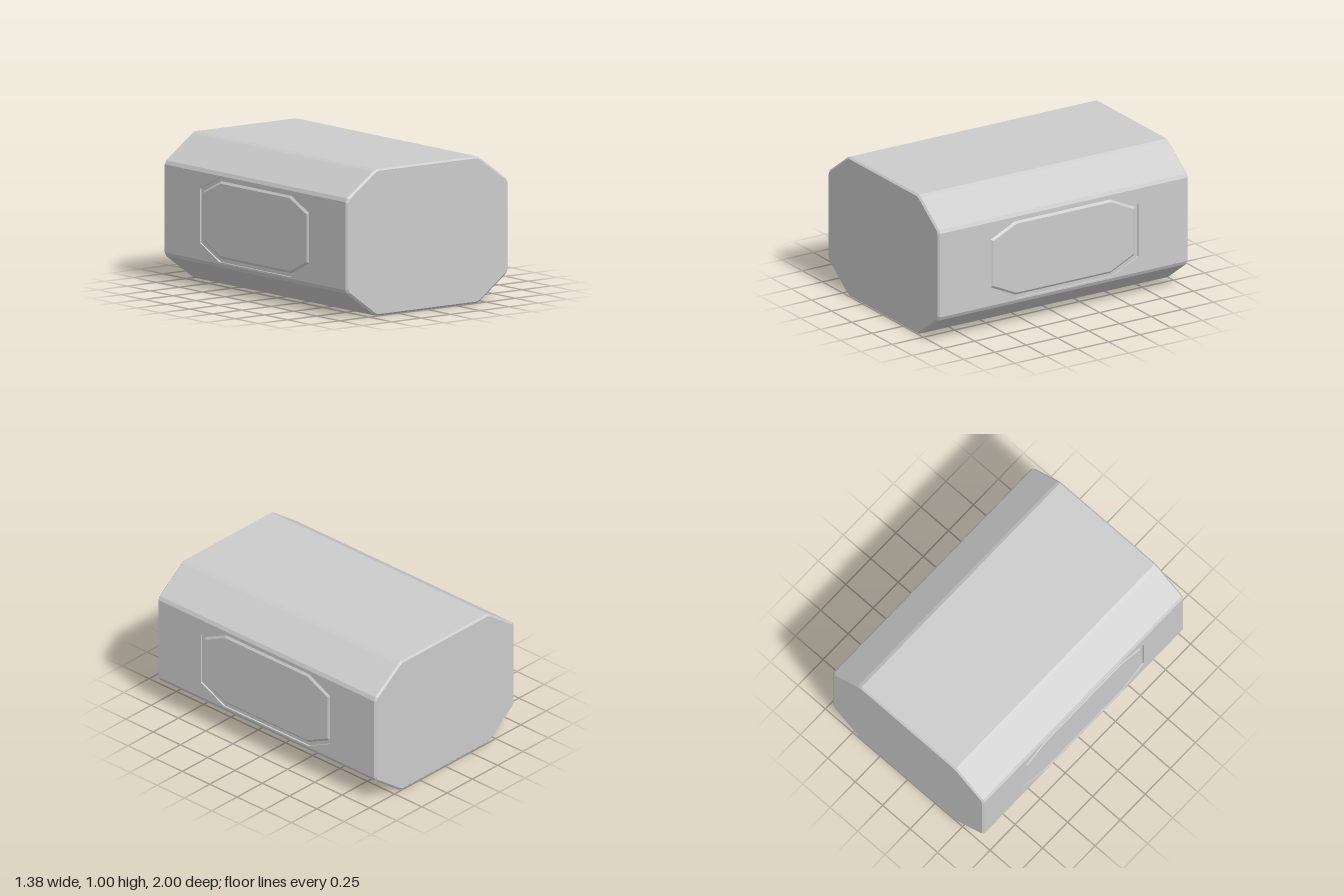
import * as THREE from 'three';

const material = new THREE.MeshStandardMaterial({ color: 0xcccccc, flatShading: true });

// Corner points of one quadrant mirrored into a full counter-clockwise outline
function outline(quarter) {
  const flip = (sx, sy) => quarter.map(([x, y]) => [x * sx, y * sy]);
  return [...flip(1, 1), ...flip(-1, 1).reverse(), ...flip(-1, -1), ...flip(1, -1).reverse()];
}

// Joins successive loops { pts, z } with flat quads; skip(i, k) leaves a quad out
function loft(loops, skip = () => false) {
  const pos = [];
  for (let k = 0; k < loops.length - 1; k++) {
    const A = loops[k], B = loops[k + 1], n = A.pts.length;
    for (let i = 0; i < n; i++) {
      if (skip(i, k)) continue;
      const j = (i + 1) % n;
      const a0 = [...A.pts[i], A.z], b0 = [...A.pts[j], A.z];
      const a1 = [...B.pts[i], B.z], b1 = [...B.pts[j], B.z];
      pos.push(...a0, ...b0, ...b1, ...a0, ...b1, ...a1);
    }
  }
  const geo = new THREE.BufferGeometry();
  geo.setAttribute('position', new THREE.Float32BufferAttribute(pos, 3));
  geo.computeVertexNormals();
  return geo;
}

const vectors = (pts) => pts.map(([x, y]) => new THREE.Vector2(x, y));

function addMesh(parent, name, geo) {
  const mesh = new THREE.Mesh(geo, material);
  mesh.name = name;
  parent.add(mesh);
  return mesh;
}

export function createModel() {
  const model = new THREE.Group();
  model.name = 'octagonalBlock';
  const block = new THREE.Group();
  block.name = 'block';
  block.position.y = 0.5;
  model.add(block);

  // Octagonal hull with softened long edges and bevelled ends
  const section = outline([[0.69, 0.3], [0.677, 0.326], [0.455, 0.488], [0.43, 0.5]]);
  const endSection = section.map(([x, y]) => [x * 0.982, y * 0.977]);
  addMesh(block, 'hull', loft([
    { pts: endSection, z: -1 }, { pts: section, z: -0.988 },
    { pts: section, z: 0.988 }, { pts: endSection, z: 1 },
  ], (i, k) => k === 1 && i % 8 === 7));

  // Flat end caps
  for (const s of [1, -1]) {
    const cap = addMesh(block, s > 0 ? 'frontCap' : 'backCap',
      new THREE.ShapeGeometry(new THREE.Shape(vectors(endSection))));
    cap.position.z = s;
    if (s < 0) cap.rotation.y = Math.PI;
  }

  // Side walls, each with an eight-sided panel framed by a shallow groove
  const outer = outline([[0.6, 0.187], [0.388, 0.288]]);
  const inner = outline([[0.575, 0.172], [0.382, 0.264]]);
  const panel = outline([[0.56, 0.162], [0.376, 0.248]]);
  const depth = 0.012;
  for (const s of [1, -1]) {
    const side = new THREE.Group();
    side.name = s > 0 ? 'leftSide' : 'rightSide';
    side.position.x = s * 0.69;
    side.rotation.y = s * Math.PI / 2;
    block.add(side);

    const wall = new THREE.Shape(vectors([[-0.988, -0.3], [0.988, -0.3], [0.988, 0.3], [-0.988, 0.3]]));
    wall.holes.push(new THREE.Path(vectors(outer)));
    addMesh(side, 'sideWall', new THREE.ShapeGeometry(wall));
    addMesh(side, 'panelGroove', loft([
      { pts: outer, z: 0 }, { pts: outer, z: -depth },
      { pts: inner, z: -depth }, { pts: panel, z: 0 },
    ]));
    addMesh(side, 'sidePanel', new THREE.ShapeGeometry(new THREE.Shape(vectors(panel))));
  }
  return model;
}
